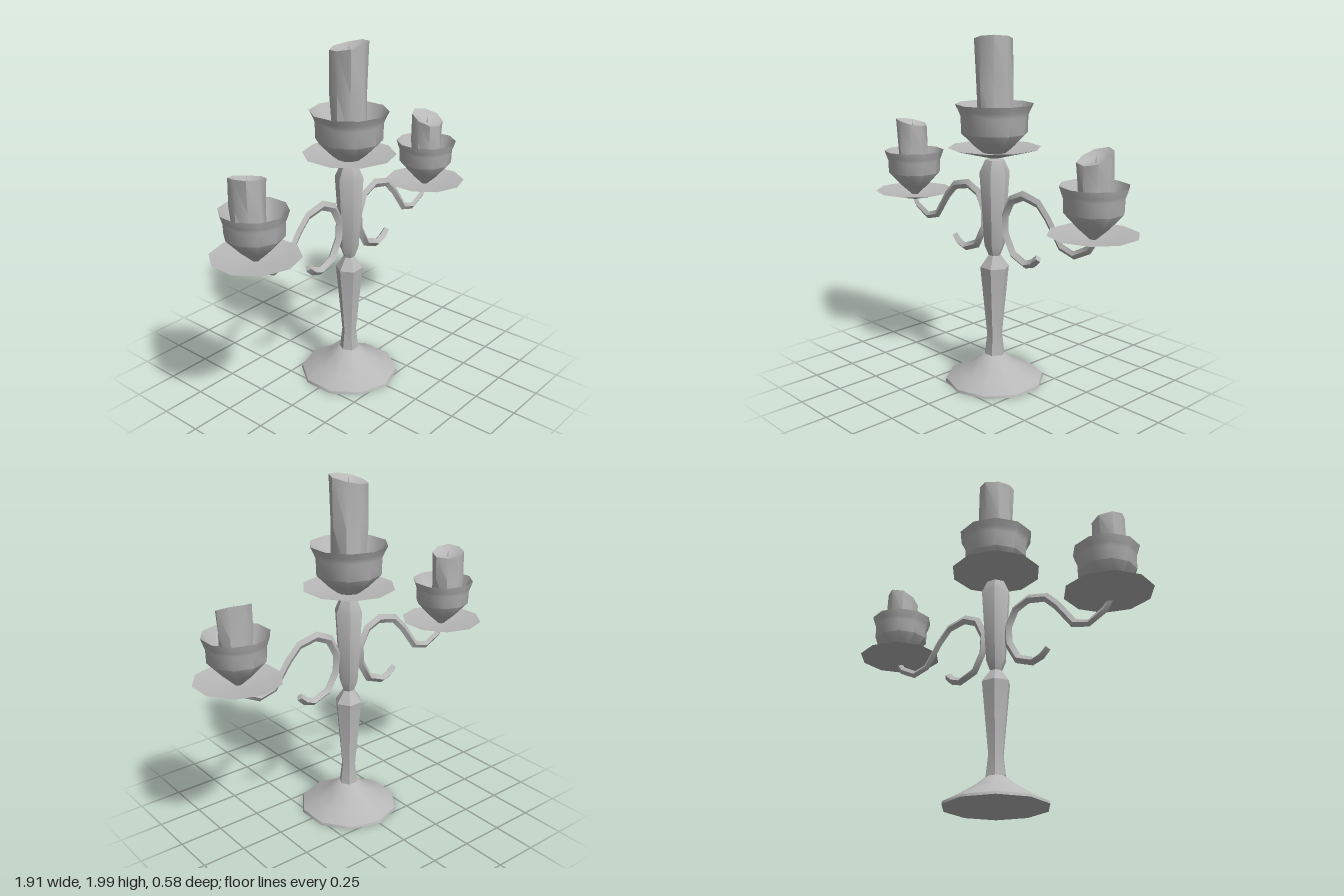
import * as THREE from 'three';
import { toCreasedNormals, mergeVertices } from 'three/addons/utils/BufferGeometryUtils.js';

const metal = new THREE.MeshStandardMaterial({ color: 0xb8b8b8, side: THREE.DoubleSide });
metal.name = 'plain grey';

// Turned part from a bottom-to-top profile of [radius, height] pairs
function turned(name, profile, sides, crease = 0.75) {
  const points = profile.map(([r, y]) => new THREE.Vector2(r, y));
  const mesh = new THREE.Mesh(toCreasedNormals(new THREE.LatheGeometry(points, sides), crease), metal);
  mesh.name = name;
  return mesh;
}

// Candle with a melted, slanted top; slope is the rise per unit of x and z
function candle(r, bottom, top, slope, dip) {
  const profile = [[0, bottom], [r * 0.9, bottom], [r * 0.97, (bottom + top) / 2], [r, top],
    [r * 0.55, top - dip * 0.6], [0, top - dip]].map(([x, y]) => new THREE.Vector2(x, y));
  const geo = new THREE.LatheGeometry(profile, 8);
  const p = geo.attributes.position;
  for (let i = 0; i < p.count; i++) {
    const x = p.getX(i), y = p.getY(i), z = p.getZ(i);
    const t = (y - bottom) / (top - bottom);
    const angle = Math.atan2(x, z);
    const k = 1 + 0.06 * Math.sin(3 * angle + 4 * t);
    p.setXYZ(i, x * k, y + (t > 0.8 ? slope[0] * x + slope[1] * z : 0), z * k);
  }
  const group = new THREE.Group();
  group.name = 'candle';
  const wax = new THREE.Mesh(toCreasedNormals(geo, 0.8), metal);
  wax.name = 'wax';
  const wick = new THREE.Mesh(new THREE.ConeGeometry(0.006, 0.05, 4), metal);
  wick.name = 'wick';
  wick.position.y = top - dip + 0.02;
  group.add(wax, wick);
  return group;
}

// Scrolled arm: diamond section swept along [x, y, half width, half depth] stations
function scrollArm(stations) {
  const pos = [], index = [], n = stations.length;
  stations.forEach(([x, y, w, d], i) => {
    const a = stations[Math.max(i - 1, 0)], b = stations[Math.min(i + 1, n - 1)];
    const t = new THREE.Vector2(b[0] - a[0], b[1] - a[1]).normalize();
    pos.push(x - t.y * w, y + t.x * w, 0, x, y, d, x + t.y * w, y - t.x * w, 0, x, y, -d);
    for (let k = 0; k < 4 && i < n - 1; k++) {
      const p = i * 4 + k, q = i * 4 + (k + 1) % 4;
      index.push(p, q, q + 4, p, q + 4, p + 4);
    }
  });
  const e = (n - 1) * 4;
  index.push(0, 2, 1, 0, 3, 2, e, e + 1, e + 2, e, e + 2, e + 3);
  const geo = new THREE.BufferGeometry();
  geo.setAttribute('position', new THREE.Float32BufferAttribute(pos, 3));
  geo.setIndex(index);
  const mesh = new THREE.Mesh(toCreasedNormals(geo, 0.6), metal);
  mesh.name = 'scrollArm';
  return mesh;
}

export function createModel() {
  const model = new THREE.Group();
  model.name = 'candelabra';

  // Flared foot
  model.add(turned('foot', [[0, 0.01], [0.29, 0], [0.285, 0.015], [0.2, 0.06], [0.11, 0.115], [0.055, 0.16], [0, 0.165]], 10));

  // Faceted stem in two tapering lengths
  const stem = turned('stem', [[0, 0.15], [0.06, 0.16], [0.045, 0.28], [0.085, 0.69], [0.035, 0.76],
    [0.06, 0.82], [0.088, 1.24], [0.055, 1.31], [0, 1.33]], 6, 0.5);
  stem.rotation.y = Math.PI / 6;
  stem.scale.z = 0.92;
  model.add(stem);

  // Centre holder
  model.add(turned('centreTray', [[0, 1.315], [0.03, 1.32], [0.26, 1.38], [0.06, 1.35], [0, 1.35]], 10));
  model.add(turned('centreCup', [[0, 1.325], [0.06, 1.345], [0.11, 1.385], [0.185, 1.46], [0.188, 1.555], [0.2, 1.585],
    [0.218, 1.62], [0.18, 1.555], [0.15, 1.51], [0, 1.49]], 10));
  model.add(candle(0.105, 1.48, 1.97, [0.15, 0.15], 0.03));

  // Side holders and arms, one on each side
  const path = [[0.735, 0.985, 0.02, 0.015], [0.7, 0.935, 0.022, 0.015], [0.6, 0.885, 0.022, 0.015],
    [0.51, 0.91, 0.024, 0.015], [0.41, 1.045, 0.024, 0.015], [0.34, 1.115, 0.026, 0.015], [0.225, 1.14, 0.028, 0.018],
    [0.135, 1.1, 0.028, 0.02], [0.085, 1.0, 0.026, 0.025], [0.09, 0.9, 0.026, 0.025], [0.15, 0.795, 0.026, 0.025],
    [0.25, 0.757, 0.024, 0.025], [0.305, 0.775, 0.024, 0.025], [0.345, 0.812, 0.022, 0.02]];
  for (const side of [1, -1]) {
    const arm = scrollArm(path);
    if (side < 0) arm.rotation.y = Math.PI;
    model.add(arm);

    const holder = new THREE.Group();
    holder.name = side > 0 ? 'leftHolder' : 'rightHolder';
    holder.position.x = side * 0.728;
    holder.add(turned('sideTray', [[0, 0.97], [0.03, 0.972], [0.24, 1.025], [0.06, 1.0], [0, 1.0]], 10));
    holder.add(turned('sideCup', [[0, 0.98], [0.03, 1.01], [0.08, 1.055], [0.158, 1.14], [0.16, 1.215], [0.168, 1.235],
      [0.181, 1.275], [0.15, 1.215], [0.12, 1.17], [0, 1.15]], 10));
    const slope = side > 0 ? [0.05, -0.4] : [-0.18, 0.12];
    const wax = candle(0.094, 1.14, side > 0 ? 1.42 : 1.445, slope, 0.03);
    wax.position.x = side > 0 ? 0.005 : -0.025;
    wax.position.z = side > 0 ? 0 : -0.01;
    holder.add(wax);
    model.add(holder);
  }
  return model;
}
